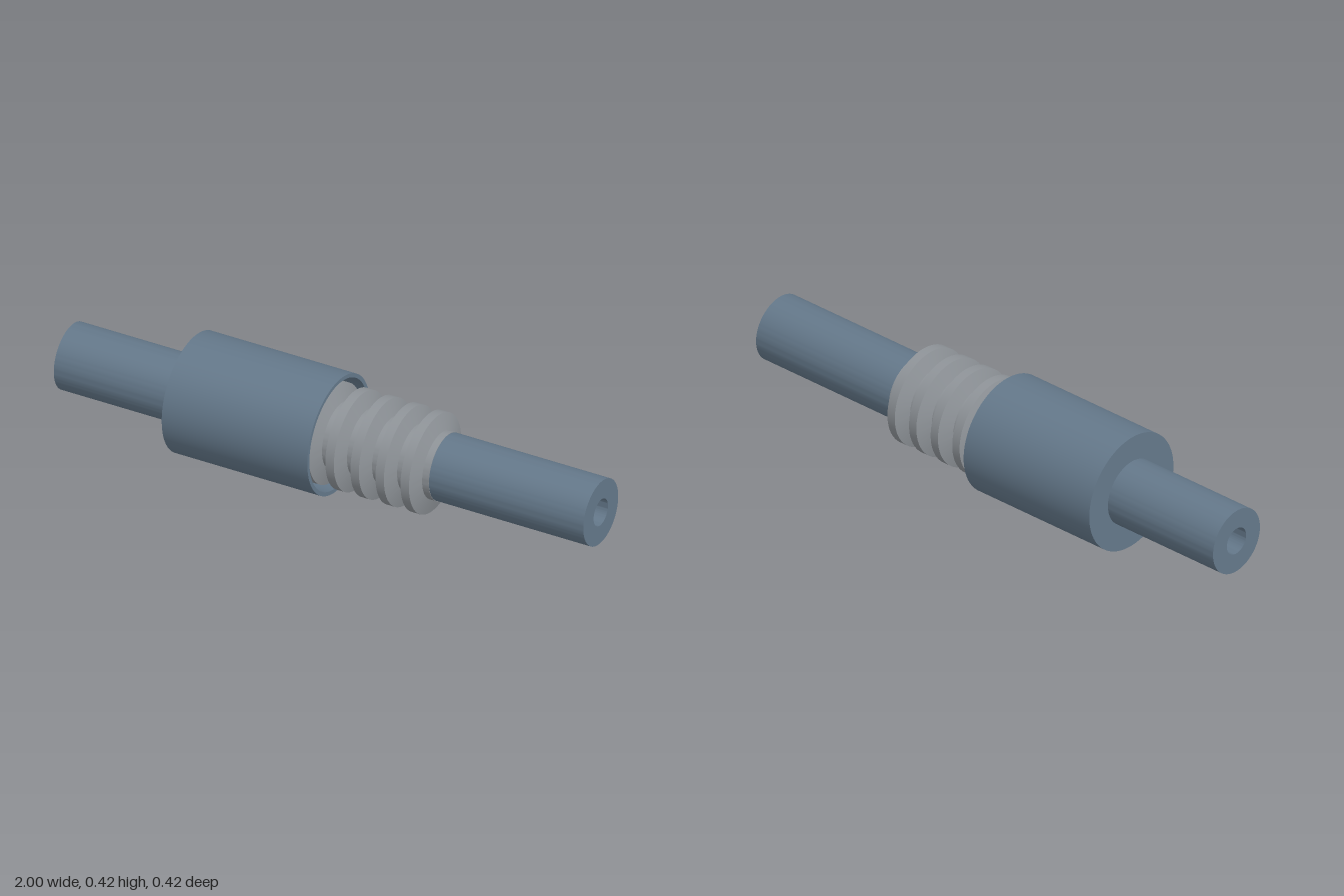
import * as THREE from 'three';
import { toCreasedNormals } from 'three/addons/utils/BufferGeometryUtils.js';

const slate = new THREE.MeshStandardMaterial({ color: 0x64788a });
const grey = new THREE.MeshStandardMaterial({ color: 0x8f9499 });

// Turned part along x: profile of [x, radius], outer surface first towards +x, then back inside
function turned(name, profile, material) {
  const points = [...profile, profile[0]].map(([x, r]) => new THREE.Vector2(r, x));
  const mesh = new THREE.Mesh(toCreasedNormals(new THREE.LatheGeometry(points, 96), 0.5), material);
  mesh.name = name;
  mesh.rotation.z = -Math.PI / 2;
  mesh.position.y = 0.21;
  return mesh;
}

export function createModel() {
  const model = new THREE.Group();
  model.name = 'shaftWithBellows';
  const shaftR = 0.117, boreR = 0.048;

  // Hollow shaft running the full length
  model.add(turned('shaft', [[-1, shaftR], [1, shaftR], [1, boreR], [-1, boreR]], slate));

  // Cup-shaped housing, open towards +x
  model.add(turned('housing', [
    [-0.54, 0.21], [0.01, 0.21], [0.01, 0.196], [-0.52, 0.196],
    [-0.52, 0.11], [-0.54, 0.11],
  ], slate));

  // Bellows: evenly spaced trapezoidal ribs on a thin sleeve
  const valleyR = 0.1185, peakR = 0.175, pitch = 0.0945, ribs = 10;
  const profile = [[-0.52, valleyR]];
  for (let i = ribs - 1; i >= 0; i--) {
    const x = 0.358 - i * pitch;
    profile.push([x - 0.034, valleyR], [x - 0.016, peakR], [x + 0.016, peakR], [x + 0.034, valleyR]);
  }
  profile.push([0.417, valleyR], [0.417, 0.11], [-0.52, 0.11]);
  model.add(turned('bellows', profile, grey));

  return model;
}
